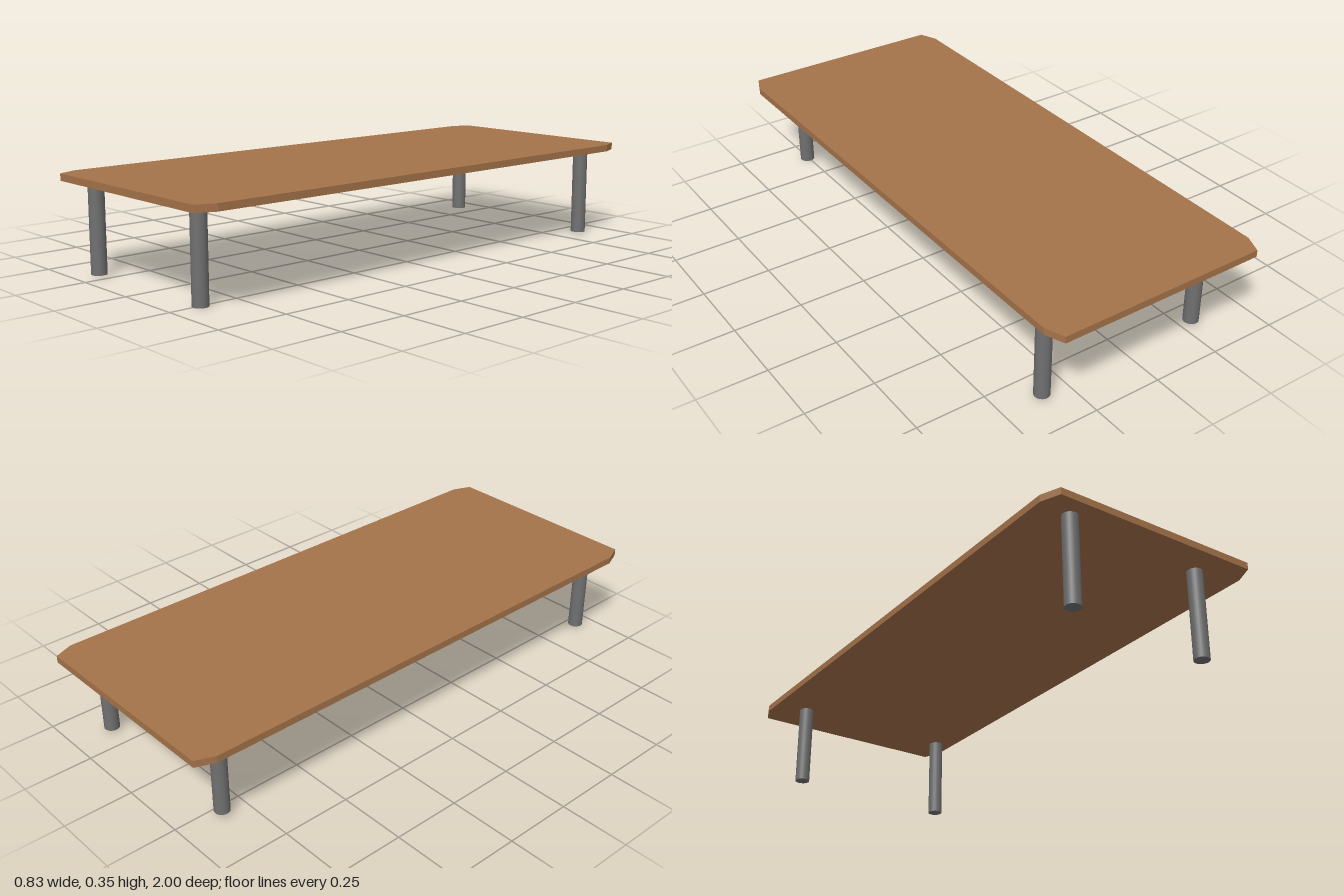
import * as THREE from 'three';

const woodMaterial = new THREE.MeshStandardMaterial({ color: 0xa5734a });
const legMaterial = new THREE.MeshStandardMaterial({ color: 0x707070 });

const TOP_Y = 0.35;
const UNDER_Y = 0.325;

// Flat slab with clipped corners
function createTabletop() {
  const x = 0.415, z = 1, cutX = 0.028, cutZ = 0.068;
  const outline = new THREE.Shape([
    [x - cutX, -z], [x, -z + cutZ], [x, z - cutZ], [x - cutX, z],
    [-x + cutX, z], [-x, z - cutZ], [-x, -z + cutZ], [-x + cutX, -z],
  ].map(([px, pz]) => new THREE.Vector2(px, pz)));
  const geometry = new THREE.ExtrudeGeometry(outline, { depth: TOP_Y - UNDER_Y, bevelEnabled: false });
  geometry.rotateX(-Math.PI / 2);
  const top = new THREE.Mesh(geometry, woodMaterial);
  top.name = 'tabletop';
  top.position.y = UNDER_Y;
  return top;
}

// Round leg from its foot height up to the underside of the top
function createLeg(name, x, z, footY) {
  const height = UNDER_Y - footY;
  const leg = new THREE.Mesh(new THREE.CylinderGeometry(0.0275, 0.0275, height, 24), legMaterial);
  leg.name = name;
  leg.position.set(x, footY + height / 2, z);
  return leg;
}

export function createModel() {
  const table = new THREE.Group();
  table.name = 'table';
  table.add(createTabletop());

  // Legs are unevenly placed and differ slightly in length
  const legs = [
    ['frontLeftLeg', 0.253, 0.889, 0],
    ['frontRightLeg', -0.293, 0.921, 0.008],
    ['backLeftLeg', 0.349, -0.849, 0.009],
    ['backRightLeg', -0.287, -0.841, 0.017],
  ];
  for (const leg of legs) table.add(createLeg(...leg));
  return table;
}
